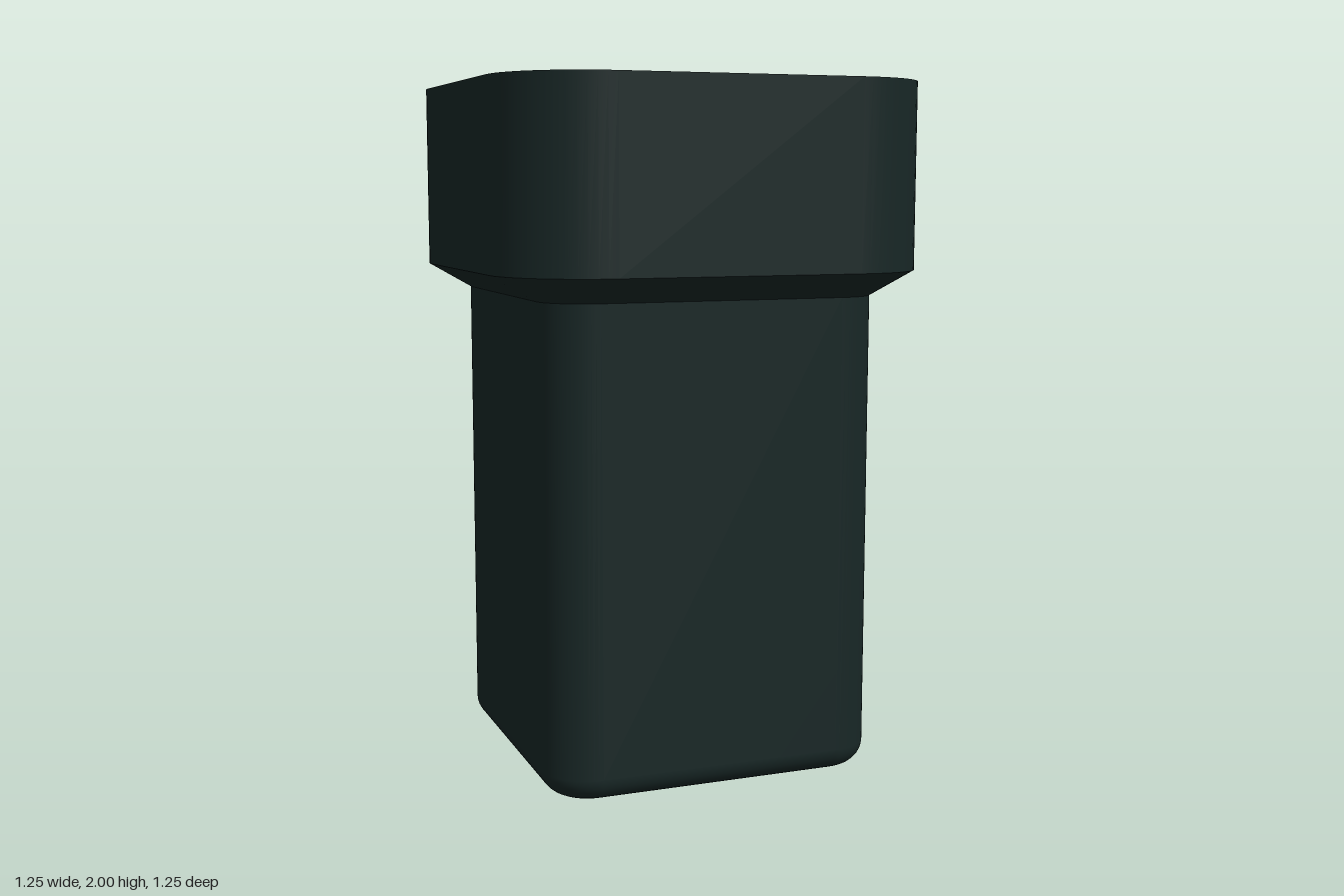
import * as THREE from 'three';

const dark = new THREE.MeshStandardMaterial({ name: 'darkGreenGrey', color: 0x182726 });
const grey = new THREE.MeshStandardMaterial({ name: 'markGrey', color: 0xc4c4c4 });

// Rounded rectangle outline: half width, half depth, corner radius
function outline(hx, hz, r, steps = 16) {
  const pts = [];
  const corners = [[1, 1], [-1, 1], [-1, -1], [1, -1]];
  corners.forEach(([sx, sz], k) => {
    for (let i = 0; i <= steps; i++) {
      const a = (k + i / steps) * Math.PI / 2;
      pts.push(new THREE.Vector2(sx * (hx - r) + r * Math.cos(a), sz * (hz - r) + r * Math.sin(a)));
    }
  });
  return pts;
}

// Skin through rings [hx, hz, r, y]; rising rings face outward, falling rings face inward
function loft(rings) {
  const pos = [], index = [];
  let n = 0;
  rings.forEach(([hx, hz, r, y]) => {
    const pts = outline(hx, hz, r);
    n = pts.length;
    pts.forEach(p => pos.push(p.x, y, p.y));
  });
  for (let j = 0; j < rings.length - 1; j++) {
    for (let i = 0; i < n; i++) {
      const a = j * n + i, b = j * n + (i + 1) % n;
      index.push(a, a + n, b, b, a + n, b + n);
    }
  }
  const g = new THREE.BufferGeometry();
  g.setAttribute('position', new THREE.Float32BufferAttribute(pos, 3));
  g.setIndex(index);
  g.computeVertexNormals();
  return g;
}

// Flat horizontal face, facing up or down, with an optional hole
function flat(ring, up, hole) {
  const [hx, hz, r, y] = ring;
  const s = new THREE.Shape(outline(hx, hz, r));
  if (hole) s.holes.push(new THREE.Path(outline(hole[0], hole[1], hole[2])));
  return new THREE.ShapeGeometry(s).rotateX(up ? -Math.PI / 2 : Math.PI / 2).translate(0, y, 0);
}

// Padlock pictogram with a shackle opening and a keyhole
function padlockShape() {
  const s = new THREE.Shape();
  const w = 0.3, b = -0.37, t = 0.05, c = 0.03;
  s.moveTo(-w + c, b);
  s.lineTo(w - c, b);
  s.quadraticCurveTo(w, b, w, b + c);
  s.lineTo(w, t - c);
  s.quadraticCurveTo(w, t, w - c, t);
  s.lineTo(0.245, t);
  s.lineTo(0.245, 0.14);
  s.absarc(0, 0.14, 0.245, 0, Math.PI, false);
  s.lineTo(-0.245, t);
  s.lineTo(-w + c, t);
  s.quadraticCurveTo(-w, t, -w, t - c);
  s.lineTo(-w, b + c);
  s.quadraticCurveTo(-w, b, -w + c, b);

  const opening = new THREE.Path();
  opening.moveTo(-0.12, 0.06);
  opening.lineTo(0.12, 0.06);
  opening.lineTo(0.12, 0.14);
  opening.absarc(0, 0.14, 0.12, 0, Math.PI, false);
  opening.closePath();

  const keyhole = new THREE.Path();
  keyhole.moveTo(-0.05, -0.27);
  keyhole.lineTo(0.05, -0.27);
  keyhole.absarc(0, -0.12, 0.095, -Math.PI / 3, Math.PI * 4 / 3, false);
  keyhole.closePath();
  s.holes.push(opening, keyhole);
  return s;
}

export function createModel() {
  const model = new THREE.Group();
  const add = (name, geometry, material = dark) => {
    const m = new THREE.Mesh(geometry, material);
    m.name = name;
    model.add(m);
  };

  // Shaft with a rounded lower edge
  const base = 0.002, fillet = 0.07, half = 0.497, radius = 0.14;
  const shaft = [];
  for (let i = 0; i <= 8; i++) {
    const a = i / 8 * Math.PI / 2;
    const inset = fillet * (1 - Math.sin(a));
    shaft.push([half - inset, half - inset, radius - inset, base + fillet * (1 - Math.cos(a))]);
  }
  const neck = [half, half, radius, 1.397];
  add('shaft', loft([...shaft, neck]));
  add('shaftBottom', flat(shaft[0], false));

  // Head: sloped underside, straight sides, flat top
  const headLow = [0.625, 0.625, 0.275, 1.47];
  const headTop = [0.625, 0.625, 0.275, 2];
  add('headUnderside', loft([neck, headLow]));
  add('headSides', loft([headLow, headTop]));

  // Oval recess with a bevelled rim
  const rim = [0.387, 0.323, 0.323, 2];
  const lip = [0.31, 0.246, 0.246, 1.925];
  const floor = [0.31, 0.246, 0.246, 1.4];
  add('headTop', flat(headTop, true, rim));
  add('recessBevel', loft([rim, lip]));
  add('recessWall', loft([lip, floor]));
  add('recessFloor', flat(floor, true));

  // Pictogram plate under the shaft, shackle towards the back
  const mark = new THREE.ExtrudeGeometry(padlockShape(), { depth: base, bevelEnabled: false, curveSegments: 24 });
  mark.rotateZ(Math.PI).rotateX(Math.PI / 2).translate(0, base, 0);
  add('padlockMark', mark, grey);

  return model;
}
